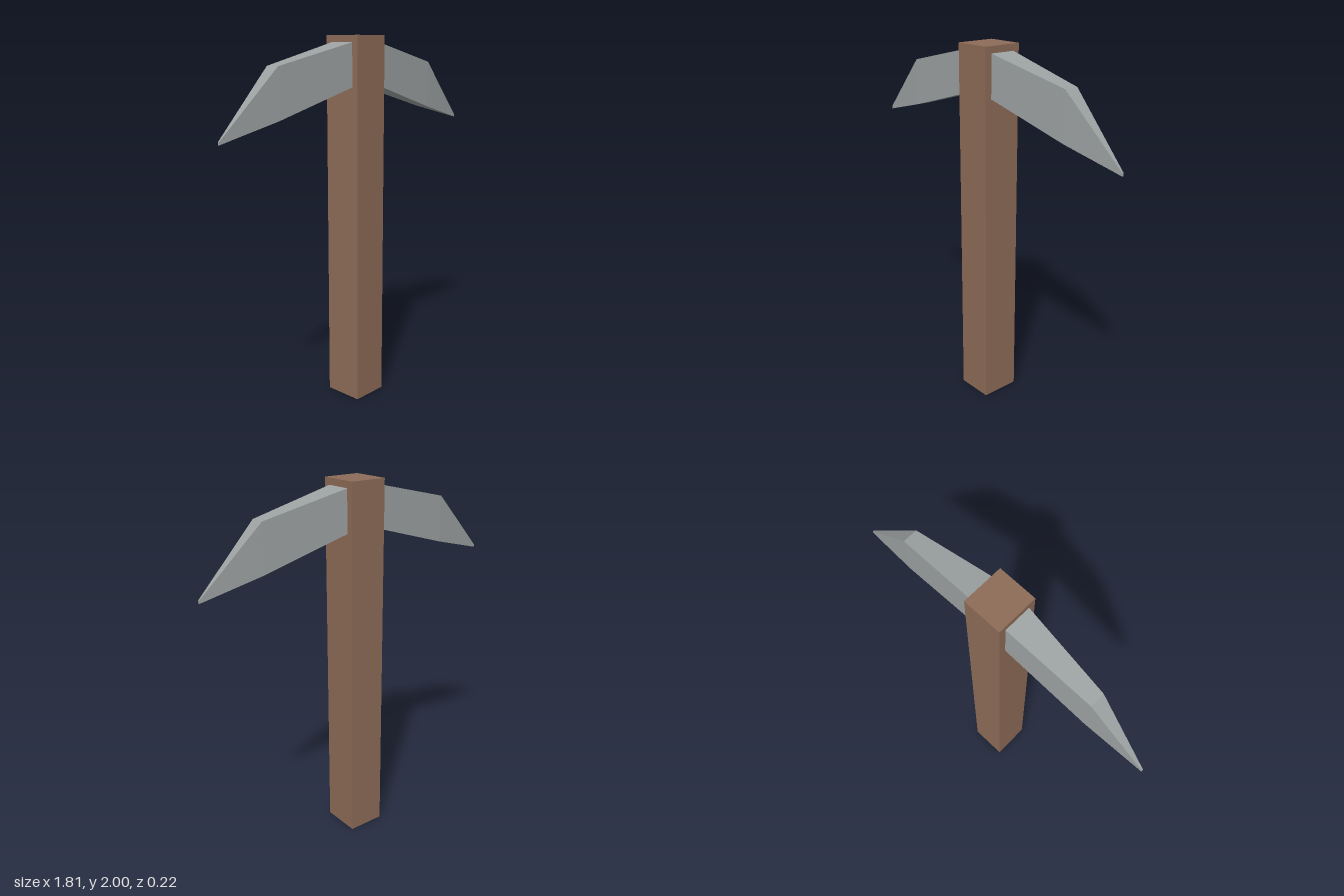
import * as THREE from 'three';

// Rectangular cross-sections along the blade: [x, bottom y, top y, half depth]
const SECTIONS = [
  [0.1, 1.74, 1.965, 0.073],
  [0.575, 1.6, 1.855, 0.04],
  [0.903, 1.515, 1.53, 0.004],
];

// Joins the cross-sections into a closed, tapering blade pointing along +x
function bladeGeometry() {
  const positions = [];
  const index = [];
  for (const [x, low, high, d] of SECTIONS) {
    positions.push(x, low, d, x, low, -d, x, high, -d, x, high, d);
  }
  const quad = (a, b, c, d) => index.push(a, b, c, a, c, d);
  const last = (SECTIONS.length - 1) * 4;
  for (let s = 0; s < last; s += 4) {
    for (let i = 0; i < 4; i++) {
      const j = (i + 1) % 4;
      quad(s + i, s + j, s + 4 + j, s + 4 + i);
    }
  }
  quad(3, 2, 1, 0); // root cap
  quad(last, last + 1, last + 2, last + 3); // tip cap

  const indexed = new THREE.BufferGeometry();
  indexed.setAttribute('position', new THREE.Float32BufferAttribute(positions, 3));
  indexed.setIndex(index);
  const geometry = indexed.toNonIndexed();
  geometry.computeVertexNormals();
  return geometry;
}

export function createModel() {
  const group = new THREE.Group();
  group.name = 'pickaxe';

  const wood = new THREE.MeshStandardMaterial({ color: 0x8d6b57 });
  wood.name = 'brown wood';
  const metal = new THREE.MeshStandardMaterial({ color: 0x9ca1a1 });
  metal.name = 'grey metal';

  // Square handle
  const handle = new THREE.Mesh(new THREE.BoxGeometry(0.208, 2, 0.22), wood);
  handle.name = 'handle';
  handle.position.y = 1;
  group.add(handle);

  // Two matching blades, the second turned half way round
  const geometry = bladeGeometry();
  for (const [name, turn] of [['leftBlade', 0], ['rightBlade', Math.PI]]) {
    const blade = new THREE.Mesh(geometry, metal);
    blade.name = name;
    blade.rotation.y = turn;
    group.add(blade);
  }

  return group;
}
